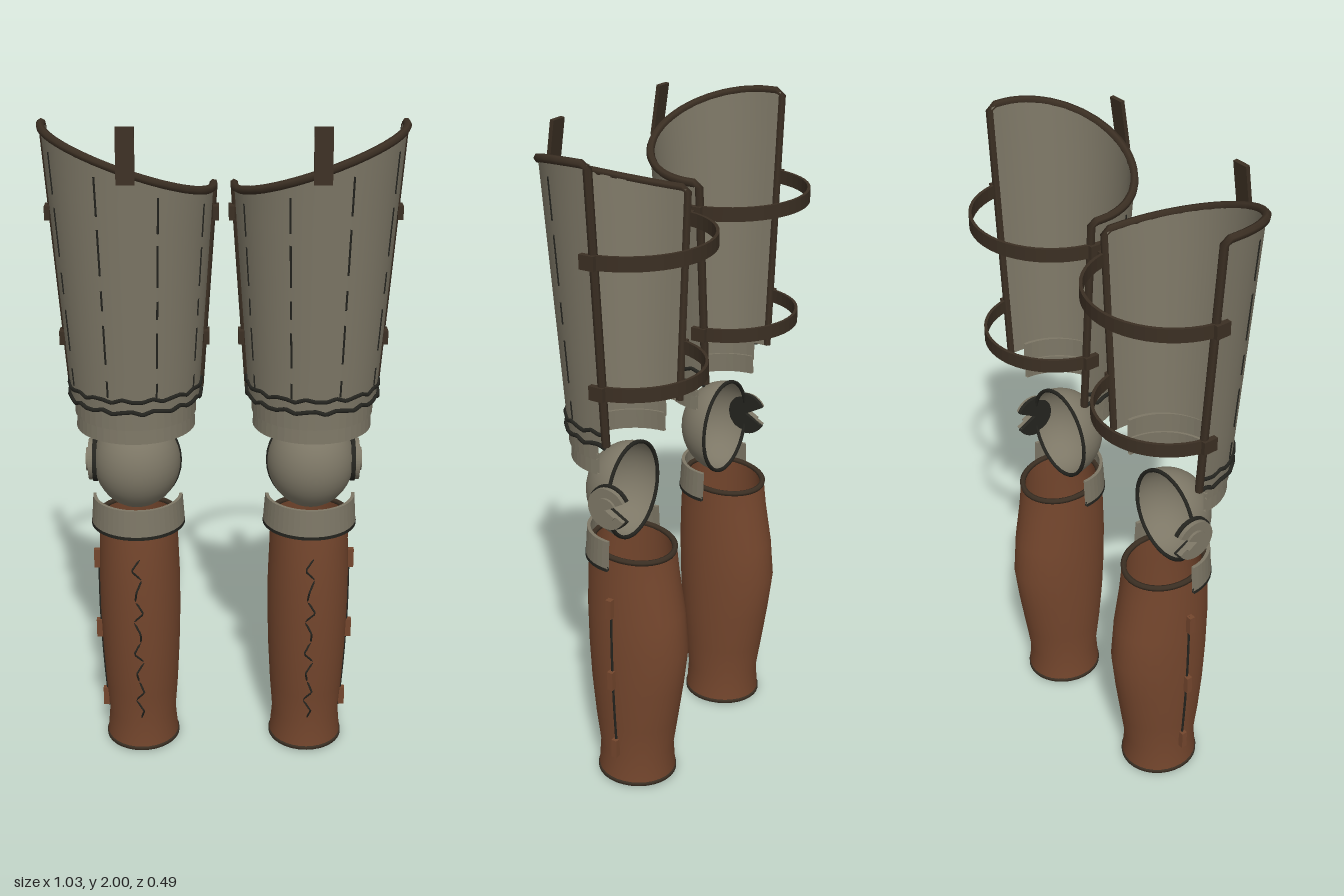
import * as THREE from 'three';
import { mergeVertices } from 'three/addons/utils/BufferGeometryUtils.js';

const V = (x, y, z) => new THREE.Vector3(x, y, z);
const lerp = THREE.MathUtils.lerp;

// Grid surface from a point function f(u, v), u and v in 0..1
function surface(f, nu, nv) {
  const pos = [], idx = [];
  for (let j = 0; j <= nv; j++)
    for (let i = 0; i <= nu; i++) pos.push(...f(i / nu, j / nv).toArray());
  for (let j = 0; j < nv; j++)
    for (let i = 0; i < nu; i++) {
      const a = j * (nu + 1) + i, b = a + nu + 1;
      idx.push(a, a + 1, b + 1, a, b + 1, b);
    }
  let g = new THREE.BufferGeometry();
  g.setAttribute('position', new THREE.Float32BufferAttribute(pos, 3));
  g.setIndex(idx);
  g = mergeVertices(g, 1e-5);
  g.computeVertexNormals();
  return g;
}

// Straight-segment path swept into a round bead
function bead(points, radius, closed = false) {
  const path = new THREE.CurvePath();
  const n = points.length;
  for (let i = 0; i < (closed ? n : n - 1); i++)
    path.add(new THREE.LineCurve3(points[i], points[(i + 1) % n]));
  return new THREE.TubeGeometry(path, n * 4, radius, 6, closed);
}

// Upright flat strip of rectangular section along an arc around the leg
function arcBand(rx, rz, a0, a1, y0, y1, t, flare = 0) {
  const section = [[0, 0], [0, 1], [1, 1], [1, 0], [0, 0]];
  return surface((u, v) => {
    const a = lerp(a0, a1, v), [o, h] = section[Math.round(u * 4)];
    const d = o * t + (1 - h) * flare;
    return V((rx + d) * Math.sin(a), lerp(y0, y1, h), (rz + d) * Math.cos(a));
  }, 4, 24).toNonIndexed();
}

// Thigh shell: half-round front with straight flanks, c in -1..1 across
function thighPoint(c, v, s, out = 0) {
  const side = Math.min(1, Math.abs(c) / 0.85) * Math.sign(c);
  const a = side * Math.PI / 2;
  const y = lerp(1.18, 1.878 + 0.085 * Math.sin(a) * s, v);
  const r = lerp(0.188, 0.243, (y - 1.18) / 0.78) + out;
  const back = Math.max(0, Math.abs(c) - 0.85) / 0.15;
  return V(r * Math.sin(a), y, (r - 0.01) * Math.cos(a) - 0.04 * back);
}

// Greave profile rows: height, half width, front depth, back depth
const ROWS = [[0.01, 0.113, 0.118, 0.122], [0.1, 0.105, 0.112, 0.118], [0.2, 0.113, 0.125, 0.134],
  [0.33, 0.12, 0.137, 0.155], [0.46, 0.124, 0.143, 0.172], [0.58, 0.124, 0.145, 0.16],
  [0.7, 0.12, 0.142, 0.138], [0.79, 0.118, 0.13, 0.128]];
function greavePoint(a, y, out = 0) {
  let i = 0;
  while (i < ROWS.length - 2 && y > ROWS[i + 1][0]) i++;
  const A = ROWS[i], B = ROWS[i + 1], k = (y - A[0]) / (B[0] - A[0]);
  const c = Math.cos(a);
  const w = lerp(A[1], B[1], k) + out;
  const d = (c > 0 ? lerp(A[2], B[2], k) : lerp(A[3], B[3], k)) + out;
  const p = V(w * Math.sin(a), y, d * c);
  if (y > 0.75) p.y += 0.1 * p.z;
  return p;
}

export function createModel() {
  const mat = (name, color) => {
    const m = new THREE.MeshStandardMaterial({ color, side: THREE.DoubleSide });
    m.name = name;
    return m;
  };
  const steel = mat('dull steel', 0x7d7766);
  const leather = mat('brown leather', 0x74462d);
  const dark = mat('dark leather', 0x3b2f23);
  const ink = mat('dark seam', 0x24241f);

  function leg(s) {
    const g = new THREE.Group();
    const add = (name, geo, m) => {
      if (!geo.index) geo.computeVertexNormals();
      const mesh = new THREE.Mesh(geo, m);
      mesh.name = name;
      g.add(mesh);
      return mesh;
    };
    const box = (name, m, w, h, d, x, y, z) => {
      const b = add(name, new THREE.BoxGeometry(w, h, d), m);
      b.position.set(x, y, z);
      return b;
    };

    // Thigh plate with an inner lining and dark edging
    const column = u => u * 2 - 1;
    add('thighPlate', surface((u, v) => thighPoint(column(u), v, s), 20, 6), steel);
    add('thighLining', surface((u, v) => thighPoint(column(u), v, s, -0.01), 20, 6), steel);
    const edge = [thighPoint(-1, 0, s)];
    for (let i = 0; i <= 20; i++) edge.push(thighPoint(i / 10 - 1, 1, s));
    edge.push(thighPoint(1, 0, s));
    add('thighEdging', bead(edge, 0.012), dark);

    // Dashed flutes on the plate
    for (const c of [-0.6, -0.2, 0.2, 0.6])
      for (const [v0, v1] of [[0.06, 0.13], [0.2, 0.36], [0.42, 0.5], [0.56, 0.74], [0.79, 0.94]])
        add('flute', bead([thighPoint(c, v0, s), thighPoint(c, v1, s)], 0.003), ink);

    // Ragged trim along the lower thigh
    const trim = [0, 1].map(k => {
      const pts = [];
      for (let i = 0; i <= 24; i++) {
        const p = thighPoint(i / 12 - 1, 0, s, 0.004);
        p.y += k * 0.035 + 0.006 * Math.sin(i * 2.3 + k);
        pts.push(p);
      }
      return pts;
    });
    trim.forEach(t => add('thighTrim', bead(t, 0.006), ink));

    // Hanging strap at the top front
    const tab = box('topStrap', dark, 0.05, 0.15, 0.012, 0, 1.925, 0.236);
    tab.rotation.x = -0.15;

    // Straps around the back of the thigh, with side buckles
    for (const [y, rx, rz] of [[1.71, 0.23, 0.23], [1.34, 0.202, 0.205]]) {
      add('thighStrap', arcBand(rx, rz, Math.PI * 0.53, Math.PI * 1.47, y - 0.02, y + 0.02, 0.009), dark);
      for (const k of [-1, 1])
        box('strapBuckle', dark, 0.016, 0.04, 0.045, k * (rx + 0.008), y, -0.03);
    }

    // Half-round lames above and below the knee
    const H = Math.PI / 2;
    add('upperLame', arcBand(0.168, 0.168, -H, H, 1.125, 1.2, 0.01), steel);
    add('middleLame', arcBand(0.162, 0.16, -H, H, 1.08, 1.14, 0.01, 0.003), steel);
    add('lowerLame', arcBand(0.125, 0.125, -H, H, 0.765, 0.85, 0.01, 0.006), steel);
    add('lowerLameEdge', arcBand(0.131, 0.131, -H, H, 0.757, 0.767, 0.011), ink);

    // Knee cop, open at the back
    const cop = add('kneeCop', new THREE.SphereGeometry(1, 28, 20, 0, Math.PI), steel);
    cop.scale.set(0.13, 0.145, 0.138);
    cop.position.y = 0.96;
    const rim = [];
    for (let i = 0; i < 32; i++)
      rim.push(V(0.129 * Math.cos(i * Math.PI / 16), 0.96 + 0.144 * Math.sin(i * Math.PI / 16), 0));
    add('kneeRim', bead(rim, 0.006, true), ink);

    // Notched side wing on the outside of the knee
    const wing = (name, r, depth, x, m) => {
      const shape = new THREE.Shape();
      shape.moveTo(0, 0);
      shape.absarc(0, 0, r, 0.5, Math.PI * 2 - 0.5, false);
      shape.lineTo(0, 0);
      const geo = new THREE.ExtrudeGeometry(shape, { depth, bevelEnabled: false, curveSegments: 20 });
      geo.rotateY(Math.PI / 2).translate(-depth / 2, 0, 0);
      add(name, geo, m).position.set(s * x, 0.96, -0.005);
    };
    wing('kneeWing', 0.062, 0.018, 0.135, steel);
    wing('kneeWingBack', 0.067, 0.012, 0.125, ink);
    wing('kneeWingBoss', 0.035, 0.01, 0.147, steel);

    // Leather greave tube with dark rims
    const levels = ROWS.map(r => r[0]);
    for (const [name, out] of [['greave', 0], ['greaveLining', -0.012]])
      add(name, surface((u, v) =>
        greavePoint(u * Math.PI * 2, levels[Math.round(v * 7)], out), 32, 7), leather);
    for (const y of [0.01, 0.79]) {
      const ring = [];
      for (let i = 0; i < 32; i++) ring.push(greavePoint(i * Math.PI / 16, y, -0.005));
      add('greaveRim', bead(ring, 0.009, true), dark);
    }

    // Front lacing, side seam and outer buckles
    const lace = [];
    for (let i = 0; i <= 16; i++)
      lace.push(greavePoint(0.13 * Math.sin(i * 2.4), 0.12 + i * 0.036, i % 2 ? 0.01 : -0.004));
    add('lacing', bead(lace, 0.003), ink);
    const seam = [];
    for (let i = 0; i <= 8; i++) seam.push(greavePoint(s * H, 0.1 + i * 0.07, 0.001));
    add('sideSeam', bead(seam, 0.004), ink);
    for (const y of [0.63, 0.385, 0.135]) {
      const x = greavePoint(H, y).x + 0.008;
      box('greaveBuckle', leather, 0.018, 0.06, 0.018, s * x, y, 0);
    }

    g.position.x = s * 0.26;
    g.name = s > 0 ? 'leftLeg' : 'rightLeg';
    return g;
  }

  const model = new THREE.Group();
  model.name = 'legArmour';
  model.add(leg(1), leg(-1));
  return model;
}
